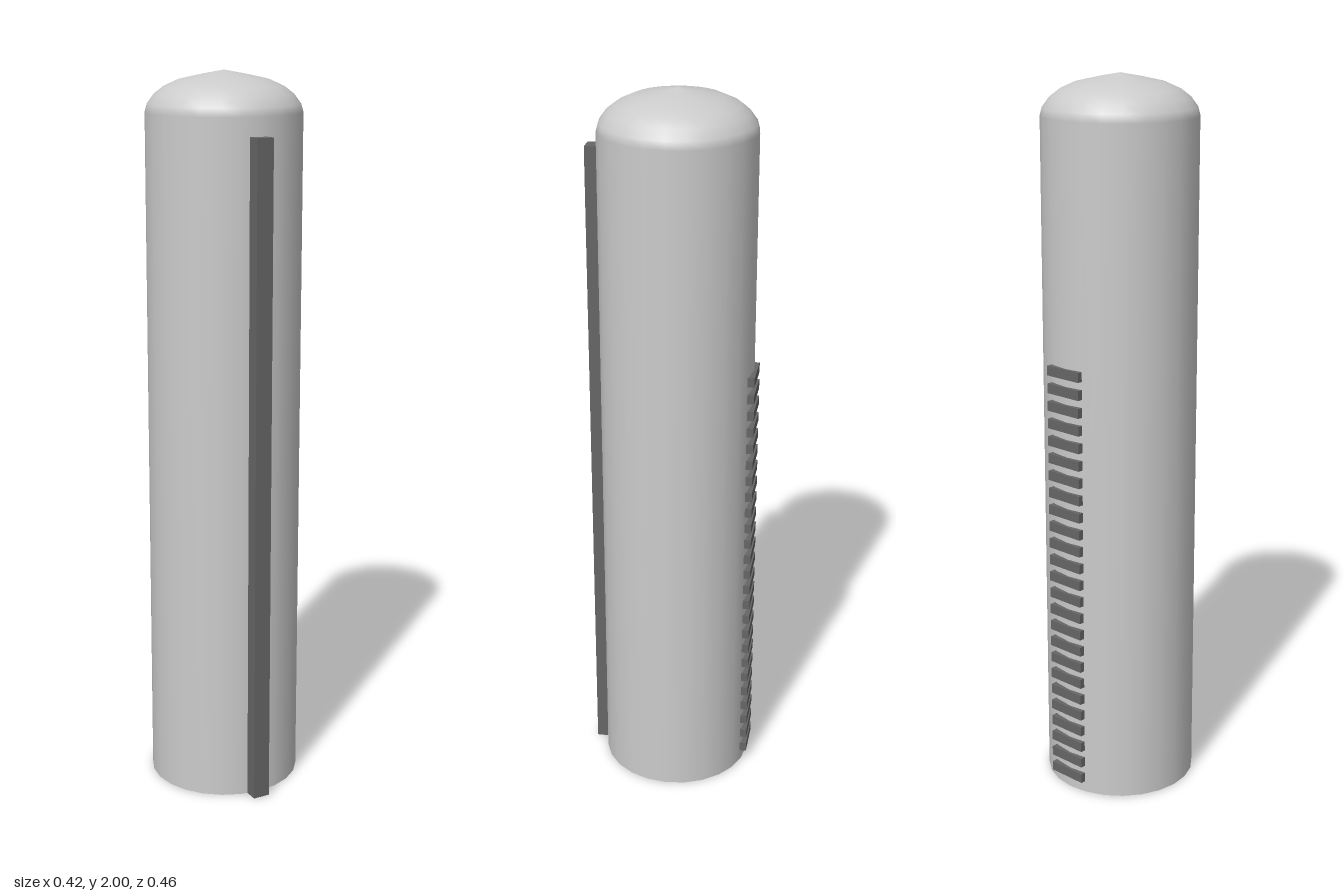
import * as THREE from 'three';

const SIDES = 24;
const RADIUS = 0.211;
const BODY_Z = -0.013;

export function createModel() {
  const group = new THREE.Group();
  const grey = new THREE.MeshStandardMaterial({ color: 0xcccccc });
  const dark = new THREE.MeshStandardMaterial({ color: 0x666666 });

  const add = (name, geometry, material, x, y, z, parent = group) => {
    const mesh = new THREE.Mesh(geometry, material);
    mesh.name = name;
    mesh.position.set(x, y, z);
    parent.add(mesh);
    return mesh;
  };

  // Tall column with a rounded, slightly pointed top
  const profile = [
    [RADIUS, 0], [RADIUS, 1.89], [0.205, 1.912], [0.186, 1.938],
    [0.16, 1.958], [0.12, 1.976], [0.06, 1.989], [0, 2],
  ].map(([r, y]) => new THREE.Vector2(r, y));
  add('column', new THREE.LatheGeometry(profile, SIDES), grey, 0, 0, BODY_Z);

  // Flat underside, turned so its corners meet the column
  const base = add('base', new THREE.CircleGeometry(RADIUS, SIDES), grey, 0, 0, BODY_Z);
  base.rotation.x = Math.PI / 2;

  // Vertical rail on the front
  add('frontRail', new THREE.BoxGeometry(0.048, 1.84, 0.05), dark, -0.012, 0.92, 0.207);

  // Ladder of thin slats on the back
  const slats = new THREE.Group();
  slats.name = 'backSlats';
  group.add(slats);
  const slat = new THREE.BoxGeometry(0.115, 0.027, 0.022);
  for (let i = 0; i < 25; i++) {
    add('slat', slat, dark, 0.006, 0.046 + i * 0.0493, -0.221, slats);
  }
  return group;
}
